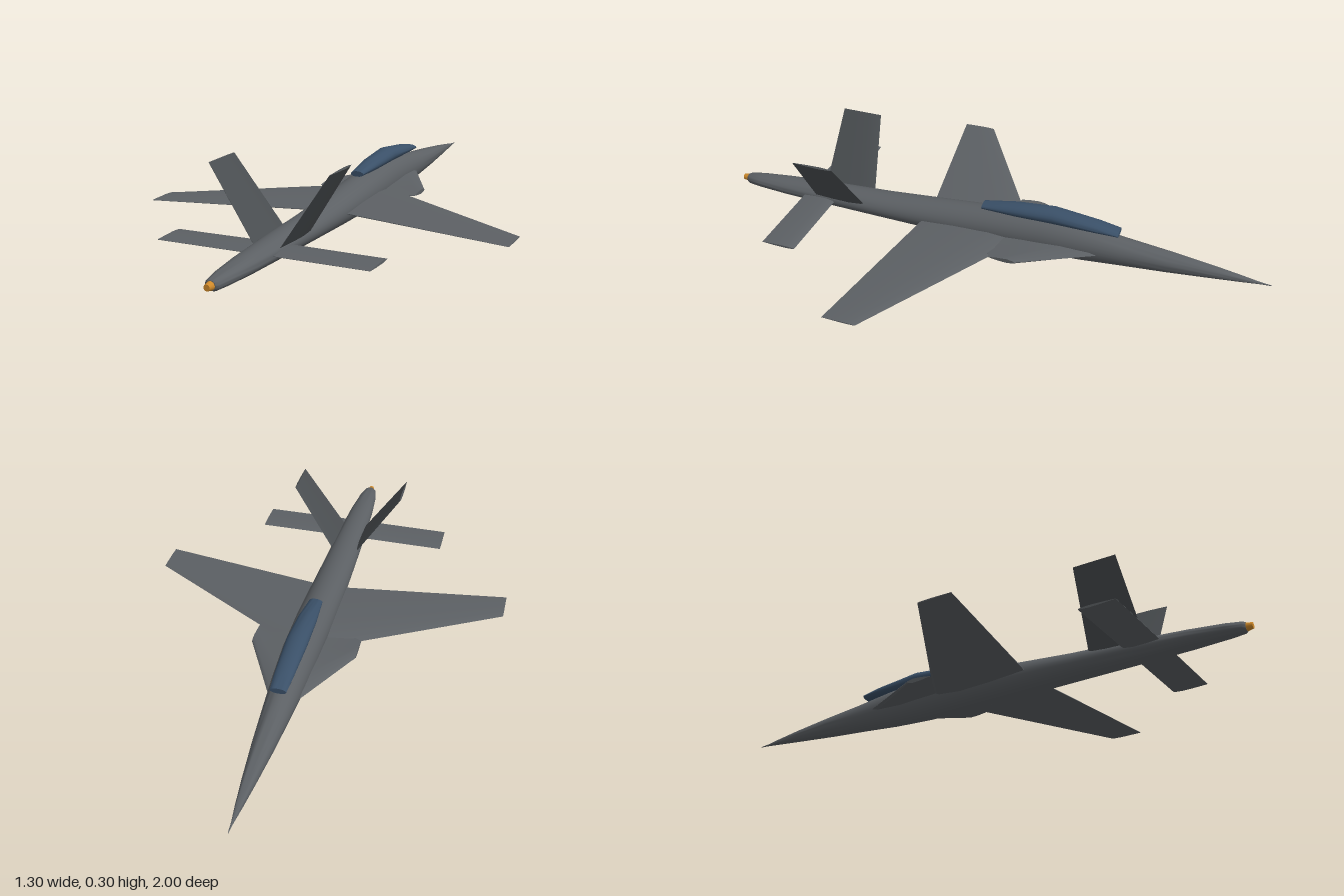
import * as THREE from 'three';
import { toCreasedNormals } from 'three/addons/utils/BufferGeometryUtils.js';

const skin = new THREE.MeshStandardMaterial({ color: 0x5c6064 });
const finSkin = new THREE.MeshStandardMaterial({ color: 0x4a4e51 });
const glass = new THREE.MeshStandardMaterial({ color: 0x3a5068 });
const glow = new THREE.MeshStandardMaterial({ color: 0xd08a2a });

// Join closed rings of points into a capped solid whose faces point outwards
function loft(rings, crease = 0.7) {
  const n = rings[0].length;
  const tris = [];
  for (let i = 0; i < rings.length - 1; i++) {
    for (let j = 0; j < n; j++) {
      const k = (j + 1) % n;
      const [a, b, c, d] = [rings[i][j], rings[i][k], rings[i + 1][k], rings[i + 1][j]];
      tris.push([a, b, c], [a, c, d]);
    }
  }
  const last = rings[rings.length - 1];
  for (let j = 1; j < n - 1; j++) {
    tris.push([rings[0][0], rings[0][j + 1], rings[0][j]], [last[0], last[j], last[j + 1]]);
  }
  const cross = new THREE.Vector3();
  const volume = tris.reduce((s, [a, b, c]) => s + a.dot(cross.crossVectors(b, c)), 0);
  if (volume < 0) tris.forEach((t) => t.reverse());
  const geometry = new THREE.BufferGeometry().setFromPoints(tris.flat());
  return toCreasedNormals(geometry, crease);
}

// Elliptical body from stations [z, centre y, half width, half height]
function body(stations, sides) {
  return loft(stations.map(([z, y, rx, ry]) => Array.from({ length: sides }, (_, i) => {
    const a = (i / sides) * Math.PI * 2;
    return new THREE.Vector3(Math.cos(a) * rx, y + Math.sin(a) * ry, z);
  })));
}

// Lens-shaped aerofoil: chord fraction and thickness fraction
const foil = [[0, 0], [0.06, 0.55], [0.3, 1], [0.65, 0.7], [1, 0.08],
  [1, -0.08], [0.65, -0.7], [0.3, -1], [0.06, -0.55]];

// Tapered surface from stations [x, y, leading z, trailing z, half thickness]
function surface(stations, side) {
  const first = stations[0], end = stations[stations.length - 1];
  const span = new THREE.Vector2(end[0] - first[0], end[1] - first[1]).normalize();
  return loft(stations.map(([x, y, z0, z1, t]) => foil.map(([c, h]) => new THREE.Vector3(
    side * (x - span.y * h * t), y + span.x * h * t, z0 + (z1 - z0) * c))), 0.6);
}

export function createModel() {
  const model = new THREE.Group();
  const add = (name, geometry, material) => {
    const mesh = new THREE.Mesh(geometry, material);
    mesh.name = name;
    model.add(mesh);
    return mesh;
  };

  // Long body with a needle nose at -z
  add('fuselage', body([
    [-1, 0.06, 0.001, 0.001], [-0.96, 0.061, 0.004, 0.004], [-0.9, 0.063, 0.012, 0.011],
    [-0.8, 0.066, 0.023, 0.022], [-0.65, 0.069, 0.037, 0.037], [-0.5, 0.072, 0.048, 0.05],
    [-0.35, 0.076, 0.058, 0.066], [-0.2, 0.078, 0.065, 0.074], [0, 0.073, 0.068, 0.067],
    [0.2, 0.065, 0.065, 0.056], [0.4, 0.059, 0.06, 0.045], [0.6, 0.056, 0.054, 0.038],
    [0.8, 0.052, 0.045, 0.03], [0.92, 0.049, 0.034, 0.023], [0.97, 0.047, 0.024, 0.019],
    [0.98, 0.047, 0.016, 0.015],
  ], 28), skin);

  // Cockpit glass with blunt ends
  add('canopy', body([
    [-0.475, 0.147, 0.028, 0.01], [-0.4, 0.154, 0.033, 0.018], [-0.24, 0.164, 0.038, 0.028],
    [-0.1, 0.157, 0.034, 0.023], [0.02, 0.147, 0.024, 0.01],
  ], 20), glass);

  // Exhaust tip
  const exhaust = add('exhaust', new THREE.CylinderGeometry(0.01, 0.016, 0.03, 16), glow);
  exhaust.rotation.x = Math.PI / 2;
  exhaust.position.set(0, 0.047, 0.985);

  for (const [label, side] of [['left', 1], ['right', -1]]) {
    add(label + 'Wing', surface([
      [0.02, 0.065, -0.155, 0.228, 0.017], [0.65, 0.056, 0.215, 0.334, 0.002],
    ], side), skin);

    // Strake ahead of the wing root
    add(label + 'Strake', surface([
      [0.03, 0.071, -0.45, 0.0, 0.014], [0.06, 0.07, -0.4, -0.01, 0.013],
      [0.185, 0.068, -0.16, -0.065, 0.008],
    ], side), skin);

    add(label + 'Tailplane', surface([
      [0.02, 0.058, 0.59, 0.715, 0.007], [0.36, 0.057, 0.59, 0.715, 0.004],
    ], side), skin);

    // Fins canted outwards
    add(label + 'Fin', surface([
      [0.042, 0.064, 0.468, 0.667, 0.006], [0.204, 0.305, 0.503, 0.653, 0.004],
    ], side), finSkin);
  }
  return model;
}
